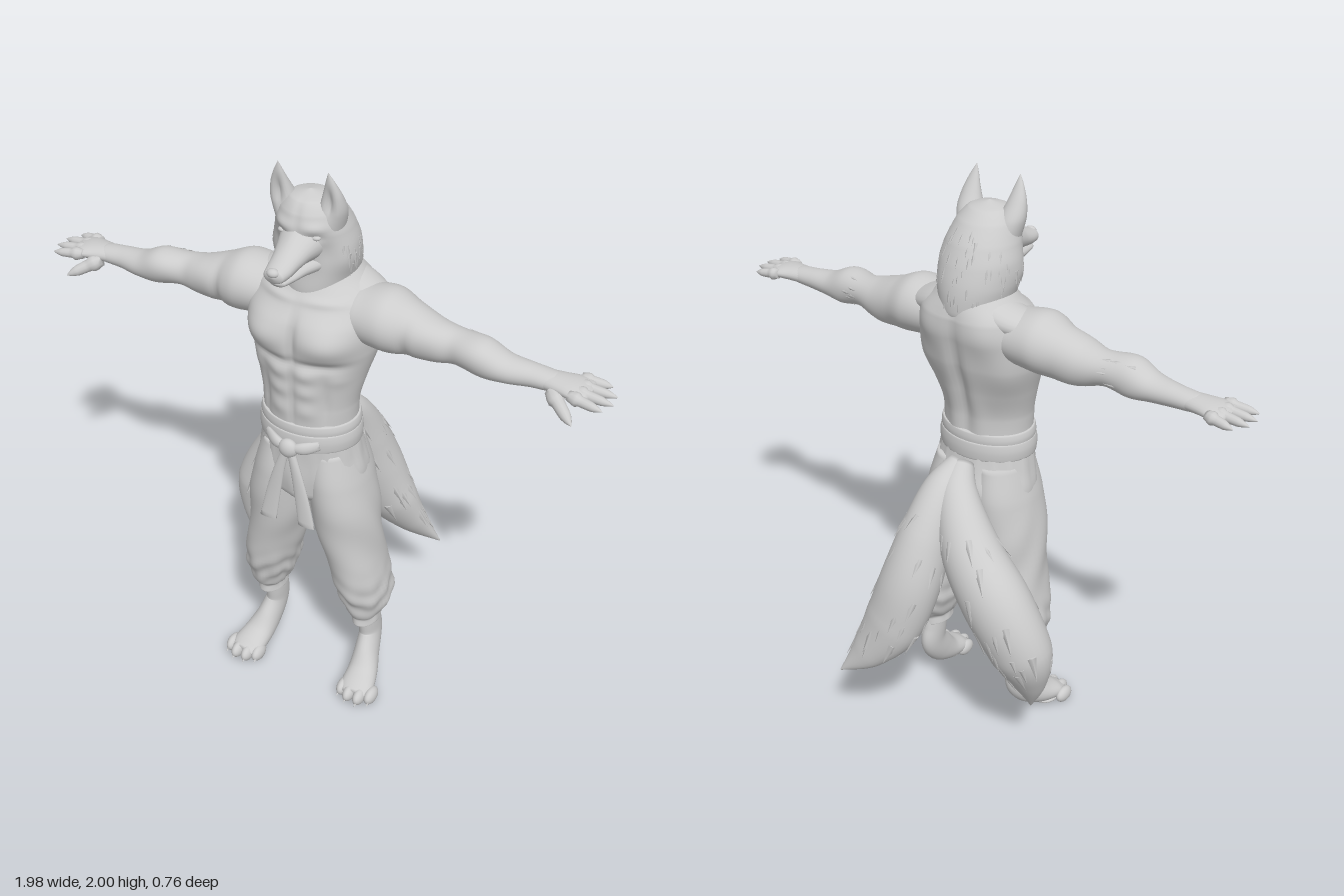
import * as THREE from 'three';
import { mergeGeometries } from 'three/addons/utils/BufferGeometryUtils.js';

const V = (x, y, z) => new THREE.Vector3(x, y, z);
const X = V(1, 0, 0), Y = V(0, 1, 0), Z = V(0, 0, 1);

// Smooth closed skin through sections [x, y, z, ru, rv]; ru runs along ref, warp pushes the skin along its normal
function loft(sections, { s = 1, ref = X, dir = null, seg = 24, steps = 6, warp = null } = {}) {
  const path = new THREE.CatmullRomCurve3(sections.map(c => V(c[0] * s, c[1], c[2])));
  const size = new THREE.CatmullRomCurve3(sections.map(c => V(c[3], c[4], 0)));
  const rows = (sections.length - 1) * steps, pos = [], idx = [], e = 0.004;
  // A fixed ring direction always points the way the path travels
  const travel = path.getPoint(1).sub(path.getPoint(0));
  const fixed = dir && dir.clone().multiplyScalar(Math.sign(dir.dot(travel)));
  for (let i = 0; i <= rows; i++) {
    const t = i / rows, c = path.getPoint(t), r = size.getPoint(t);
    const T = fixed || path.getPoint(Math.min(1, t + e)).sub(path.getPoint(Math.max(0, t - e))).normalize();
    const U = ref.clone().addScaledVector(T, -ref.dot(T)).normalize();
    const W = T.clone().cross(U);
    for (let j = 0; j < seg; j++) {
      const a = j / seg * Math.PI * 2;
      const p = c.clone().addScaledVector(U, Math.max(0.001, r.x) * Math.cos(a))
        .addScaledVector(W, Math.max(0.001, r.y) * Math.sin(a));
      pos.push(p.x, p.y, p.z);
    }
  }
  for (let i = 0; i < rows; i++) for (let j = 0; j < seg; j++) {
    const k = (j + 1) % seg, a = i * seg + j, b = i * seg + k;
    idx.push(a, b, a + seg, b, b + seg, a + seg);
  }
  const last = rows * seg;
  for (let j = 1; j < seg - 1; j++) idx.push(0, j + 1, j, last, last + j, last + j + 1);
  const g = new THREE.BufferGeometry();
  g.setAttribute('position', new THREE.Float32BufferAttribute(pos, 3));
  g.setIndex(idx);
  g.computeVertexNormals();
  if (warp) {
    const P = g.attributes.position, N = g.attributes.normal, p = V(), n = V();
    for (let i = 0; i < P.count; i++) {
      p.fromBufferAttribute(P, i); n.fromBufferAttribute(N, i);
      p.addScaledVector(n, warp(V(p.x * s, p.y, p.z)));
      P.setXYZ(i, p.x, p.y, p.z);
    }
    g.computeVertexNormals();
  }
  return g;
}

// Muscles and hollows: [x, y, z, radiusX, radiusY, radiusZ, amount], optionally on both sides
const bumps = (list, both = false) => p => list.reduce((sum, b) => {
  const x = both ? Math.abs(p.x) : p.x;
  const d = ((x - b[0]) / b[3]) ** 2 + ((p.y - b[1]) / b[4]) ** 2 + ((p.z - b[2]) / b[5]) ** 2;
  return sum + b[6] * Math.exp(-d);
}, 0);

let seed = 7;
const rand = () => (seed = (seed * 16807) % 2147483647) / 2147483647;

// Flat locks of fur lying on a skin, pointing along flow
function tufts(skin, count, length, flow, keep) {
  const P = skin.attributes.position, N = skin.attributes.normal, out = [];
  for (let tries = 0; out.length < count && tries < 6000; tries++) {
    const i = Math.floor(rand() * P.count), p = V().fromBufferAttribute(P, i);
    if (!keep(p)) continue;
    const n = V().fromBufferAttribute(N, i);
    const d = flow.clone().addScaledVector(n, -flow.dot(n)).normalize();
    d.addScaledVector(n, 0.14).normalize();
    const side = d.clone().cross(n).normalize(), l = length * (0.7 + rand() * 0.6);
    const g = new THREE.ConeGeometry(l * 0.17, l, 5);
    g.scale(1, 1, 0.45);
    g.applyMatrix4(new THREE.Matrix4().makeBasis(side, d, side.clone().cross(d)).setPosition(p));
    out.push(g);
  }
  return mergeGeometries(out);
}

export function createModel() {
  const model = new THREE.Group();
  const grey = new THREE.MeshStandardMaterial({ color: 0xcccccc });
  grey.name = 'clay grey';
  const add = (name, g) => {
    const m = new THREE.Mesh(g, grey);
    m.name = name;
    model.add(m);
    return m;
  };
  const ball = (name, x, y, z, rx, ry, rz) => {
    const m = add(name, new THREE.SphereGeometry(1, 20, 14));
    m.position.set(x, y, z);
    m.scale.set(rx, ry, rz);
  };

  // Bare torso with chest, belly and back muscles
  add('torso', loft([
    [0, 1.02, 0.14, 0.165, 0.13], [0, 1.12, 0.145, 0.16, 0.13], [0, 1.2, 0.145, 0.163, 0.13],
    [0, 1.3, 0.132, 0.185, 0.145], [0, 1.4, 0.118, 0.212, 0.162], [0, 1.5, 0.105, 0.222, 0.165],
    [0, 1.57, 0.085, 0.2, 0.148], [0, 1.62, 0.075, 0.145, 0.125], [0, 1.67, 0.075, 0.1, 0.1],
  ], {
    dir: Y, seg: 80, steps: 11, warp: bumps([
      [0.1, 1.455, 0.25, 0.085, 0.06, 0.09, 0.036], [0, 1.46, 0.28, 0.014, 0.08, 0.06, -0.016],
      [0.09, 1.375, 0.27, 0.1, 0.018, 0.06, -0.014],
      [0.045, 1.335, 0.27, 0.032, 0.026, 0.05, 0.009], [0.045, 1.27, 0.27, 0.032, 0.026, 0.05, 0.009],
      [0.045, 1.2, 0.27, 0.032, 0.03, 0.05, 0.008], [0, 1.24, 0.28, 0.009, 0.13, 0.05, -0.007],
      [0.105, 1.23, 0.24, 0.013, 0.1, 0.05, -0.008], [0.13, 1.32, 0.2, 0.03, 0.025, 0.05, 0.007],
      [0, 1.34, -0.03, 0.025, 0.25, 0.06, -0.02], [0.1, 1.53, -0.03, 0.06, 0.07, 0.06, 0.014],
      [0.16, 1.4, 0.02, 0.06, 0.1, 0.08, 0.012], [0.05, 1.2, 0.02, 0.03, 0.1, 0.05, 0.008],
      [0.07, 1.575, 0.2, 0.06, 0.012, 0.06, 0.007],
    ], true),
  }));

  // Neck and skull, with brows, sockets and cheeks
  const head = add('head', loft([
    [0, 1.53, 0.075, 0.085, 0.1], [0, 1.59, 0.078, 0.112, 0.136], [0, 1.67, 0.08, 0.13, 0.134],
    [0, 1.74, 0.095, 0.133, 0.13], [0, 1.8, 0.113, 0.121, 0.122], [0, 1.86, 0.128, 0.097, 0.095],
    [0, 1.895, 0.135, 0.065, 0.062], [0, 1.913, 0.138, 0.001, 0.001],
  ], {
    dir: Y, seg: 64, steps: 9, warp: bumps([
      [0.055, 1.795, 0.22, 0.024, 0.014, 0.04, -0.007], [0.05, 1.824, 0.215, 0.04, 0.016, 0.04, 0.008],
      [0.125, 1.7, 0.14, 0.05, 0.045, 0.06, 0.01], [0, 1.85, 0.22, 0.012, 0.05, 0.04, -0.004],
      [0.085, 1.74, 0.2, 0.03, 0.05, 0.04, -0.01],
    ], true),
  }));
  add('neckFur', tufts(head.geometry, 60, 0.035, V(0, -1, -0.2), p => p.z < 0.06 && p.y > 1.6 && p.y < 1.84));
  add('cheekFur', tufts(head.geometry, 22, 0.04, V(0, -1, 0),
    p => Math.abs(p.x) > 0.115 && p.y > 1.66 && p.y < 1.74 && p.z > 0.06));

  // Tapering muzzle in two jaws, leaving a mouth line
  add('upperJaw', loft([
    [0, 1.762, 0.13, 0.085, 0.07], [0, 1.763, 0.2, 0.072, 0.062], [0, 1.755, 0.245, 0.058, 0.047],
    [0, 1.741, 0.29, 0.047, 0.036], [0, 1.73, 0.335, 0.041, 0.029], [0, 1.727, 0.365, 0.033, 0.023],
    [0, 1.73, 0.377, 0.004, 0.004],
  ], { dir: Z, warp: bumps([[0, 1.8, 0.24, 0.02, 0.03, 0.05, 0.005]]) }));
  add('lowerJaw', loft([
    [0, 1.69, 0.12, 0.09, 0.04], [0, 1.695, 0.2, 0.066, 0.034], [0, 1.697, 0.25, 0.05, 0.027],
    [0, 1.696, 0.305, 0.038, 0.019], [0, 1.697, 0.345, 0.027, 0.014], [0, 1.699, 0.357, 0.003, 0.003],
  ], { dir: Z }));
  ball('nose', 0, 1.74, 0.366, 0.02, 0.014, 0.016);

  // Waistband, sash, knot, loops and hanging ends
  const band = (y, h, grow) => loft([
    [0, y - h, 0.145, 0.155, 0.125], [0, y - h * 0.9, 0.145, 0.17 + grow, 0.137 + grow],
    [0, y, 0.145, 0.173 + grow, 0.14 + grow], [0, y + h * 0.9, 0.145, 0.168 + grow, 0.137 + grow],
    [0, y + h, 0.145, 0.155, 0.125],
  ], { dir: Y, seg: 48 });
  add('waistband', band(1.12, 0.024, -0.002));
  add('sash', band(1.078, 0.034, 0.003));
  ball('sashKnot', 0, 1.062, 0.3, 0.034, 0.034, 0.024);

  // Trouser seat
  add('trouserSeat', loft([
    [0, 1.1, 0.145, 0.162, 0.13], [0, 1.0, 0.135, 0.179, 0.138], [0, 0.92, 0.127, 0.193, 0.146],
    [0, 0.85, 0.128, 0.18, 0.138], [0, 0.79, 0.13, 0.07, 0.08], [0, 0.765, 0.13, 0.002, 0.002],
  ], {
    dir: Y, seg: 56, warp: p => bumps([[0.08, 0.93, -0.02, 0.07, 0.08, 0.05, 0.01],
      [0, 0.9, -0.02, 0.02, 0.1, 0.05, -0.014], [0, 0.88, 0.27, 0.025, 0.09, 0.05, 0.008]], true)(p)
      + 0.003 * Math.sin(Math.atan2(p.x, p.z - 0.13) * 18) * Math.exp(-(((p.y - 1.0) / 0.07) ** 2)),
  }));

  for (const s of [1, -1]) {
    add('sashEnd', loft([
      [0.01, 1.05, 0.3, 0.014, 0.012], [0.03, 0.98, 0.306, 0.019, 0.01],
      [0.052, 0.88, 0.31, 0.026, 0.009], [0.072, s > 0 ? 0.775 : 0.765, 0.316, 0.031, 0.008],
    ], { s, dir: Y, seg: 16 }));
    add('sashLoop', loft([
      [0.01, 1.065, 0.3, 0.012, 0.012], [0.05, 1.07, 0.292, 0.014, 0.022], [0.095, 1.08, 0.266, 0.007, 0.016],
    ], { s, ref: Z, seg: 14 }));

    // Baggy trouser leg gathered above the ankle
    add('trouserLeg', loft([
      [0.085, 1.02, 0.13, 0.08, 0.12], [0.1, 0.9, 0.127, 0.1, 0.142], [0.117, 0.78, 0.128, 0.108, 0.142],
      [0.145, 0.6, 0.122, 0.101, 0.122], [0.175, 0.46, 0.108, 0.092, 0.127], [0.188, 0.37, 0.096, 0.084, 0.112],
      [0.19, 0.31, 0.1, 0.06, 0.088], [0.19, 0.285, 0.1, 0.044, 0.068], [0.19, 0.26, 0.1, 0.046, 0.07],
      [0.19, 0.258, 0.1, 0.02, 0.03],
    ], {
      s, dir: Y, seg: 48, steps: 8, warp: p => {
        const a = Math.atan2(p.x - 0.17, p.z - 0.11), low = Math.exp(-(((p.y - 0.39) / 0.09) ** 2));
        return low * (0.004 * Math.sin(p.y * 75 + 3 * Math.sin(a * 2)) + 0.003 * Math.sin(a * 9))
          + 0.004 * Math.sin(a * 3 + p.y * 24) * Math.exp(-(((p.y - 0.65) / 0.16) ** 2));
      },
    }));

    // Paw foot with four clawed toes
    add('foot', loft([
      [0.19, 0.31, 0.09, 0.036, 0.052], [0.19, 0.23, 0.078, 0.036, 0.054], [0.193, 0.17, 0.073, 0.036, 0.058],
      [0.202, 0.105, 0.118, 0.043, 0.058], [0.215, 0.06, 0.175, 0.054, 0.046], [0.224, 0.042, 0.235, 0.06, 0.034],
      [0.228, 0.034, 0.272, 0.045, 0.02],
    ], { s }));
    [[0.176, 0.246], [0.21, 0.264], [0.25, 0.264], [0.284, 0.242]].forEach(([x, z], i) => {
      ball('toe', s * x, 0.029, z, 0.021, 0.029, 0.04);
      const claw = add('toeClaw', new THREE.ConeGeometry(0.008, 0.026, 8));
      claw.position.set(s * (x + (i - 1.5) * 0.003), 0.02, z + 0.036);
      claw.rotation.x = 2.0;
    });
    ball('footPad', s * 0.225, 0.016, 0.215, 0.045, 0.016, 0.055);

    // Muscular arm held straight out
    const arm = add('arm', loft([
      [0.07, 1.53, 0.09, 0.075, 0.06], [0.16, 1.515, 0.092, 0.108, 0.088], [0.25, 1.514, 0.095, 0.114, 0.1],
      [0.33, 1.5, 0.095, 0.09, 0.084], [0.42, 1.485, 0.096, 0.071, 0.066], [0.5, 1.488, 0.103, 0.062, 0.055],
      [0.57, 1.483, 0.11, 0.064, 0.061], [0.65, 1.468, 0.112, 0.054, 0.044], [0.73, 1.466, 0.107, 0.043, 0.035],
      [0.8, 1.465, 0.107, 0.04, 0.028], [0.82, 1.465, 0.107, 0.02, 0.015],
    ], {
      s, ref: Z, dir: X, seg: 40, steps: 8, warp: bumps([
        [0.39, 1.52, 0.14, 0.06, 0.04, 0.05, 0.011], [0.37, 1.43, 0.06, 0.07, 0.04, 0.05, 0.01],
        [0.33, 1.48, 0.18, 0.018, 0.08, 0.05, -0.009], [0.55, 1.51, 0.16, 0.06, 0.04, 0.04, 0.008],
        [0.47, 1.5, 0.16, 0.03, 0.05, 0.05, -0.007], [0.58, 1.44, 0.07, 0.06, 0.03, 0.04, 0.006],
      ]),
    }));
    add('elbowFur', tufts(arm.geometry, 6, 0.04, V(-s, 0, -0.3),
      p => Math.abs(p.x) > 0.5 && Math.abs(p.x) < 0.6 && p.z < 0.075));
    // Trapezius from neck to shoulder
    add('shoulderSlope', loft([
      [0.03, 1.615, 0.05, 0.07, 0.05], [0.12, 1.582, 0.058, 0.08, 0.048],
      [0.19, 1.56, 0.075, 0.07, 0.042], [0.25, 1.545, 0.09, 0.02, 0.02],
    ], { s, ref: Z }));

    // Hand with clawed fingers and a drooping thumb
    add('palm', loft([
      [0.76, 1.465, 0.107, 0.038, 0.028], [0.82, 1.466, 0.107, 0.05, 0.026], [0.87, 1.465, 0.107, 0.062, 0.022],
      [0.905, 1.462, 0.107, 0.058, 0.016], [0.915, 1.462, 0.107, 0.03, 0.008],
    ], { s, ref: Z, dir: X }));
    const finger = (name, a, b, r) => add(name, loft(
      [[0, r], [0.35, r], [0.7, r * 0.85], [0.87, r * 0.5], [1, 0.001]].map(([t, w]) =>
        [...a.map((v, k) => v + (b[k] - v) * t), w, w]),
      { s, ref: Z, seg: 12, steps: 4 }));
    [[0.055, 0.04, 0.955], [0.09, 0.085, 0.985], [0.125, 0.13, 0.988], [0.158, 0.175, 0.97]].forEach(
      ([z0, z1, x]) => finger('finger', [0.86, 1.466, z0], [x, 1.455, z1], 0.0165));
    finger('thumb', [0.8, 1.452, 0.14], [0.895, 1.402, 0.212], 0.021);

    // Pointed ear, hollow in front, and eye
    add('ear', loft([
      [0.07, 1.8, 0.135, 0.04, 0.055], [0.082, 1.865, 0.147, 0.043, 0.046], [0.088, 1.92, 0.163, 0.032, 0.028],
      [0.087, 1.965, 0.175, 0.017, 0.013], [0.084, 2.0, 0.183, 0.001, 0.001],
    ], { s, dir: Y, steps: 8, warp: bumps([[0.085, 1.9, 0.198, 0.018, 0.045, 0.025, -0.022]]) }));
    ball('eye', s * 0.056, 1.795, 0.209, 0.016, 0.009, 0.012);
  }

  // Two bushy tails sharing one root
  const tails = [
    [[-0.005, 1.03, -0.01, 0.04, 0.04], [-0.045, 0.96, -0.085, 0.07, 0.065], [-0.15, 0.8, -0.145, 0.105, 0.1],
      [-0.268, 0.65, -0.16, 0.122, 0.112], [-0.355, 0.49, -0.145, 0.115, 0.1], [-0.375, 0.36, -0.12, 0.065, 0.055],
      [-0.372, 0.24, -0.1, 0.002, 0.002]],
    [[0.005, 1.03, -0.01, 0.04, 0.04], [0.01, 0.97, -0.1, 0.065, 0.06], [0.02, 0.82, -0.18, 0.09, 0.092],
      [0.04, 0.66, -0.237, 0.108, 0.1], [0.085, 0.5, -0.28, 0.108, 0.085], [0.16, 0.37, -0.33, 0.068, 0.047],
      [0.25, 0.27, -0.378, 0.002, 0.002]],
  ];
  tails.forEach((sections, i) => {
    const skin = loft(sections, { seg: 32, steps: 8 });
    add('tail', skin);
    add('tailFur', tufts(skin, 50, 0.08, V(i ? 0.3 : -0.3, -1, i ? -0.3 : 0), p => p.y < 0.9 && p.y > 0.36));
  });
  return model;
}
